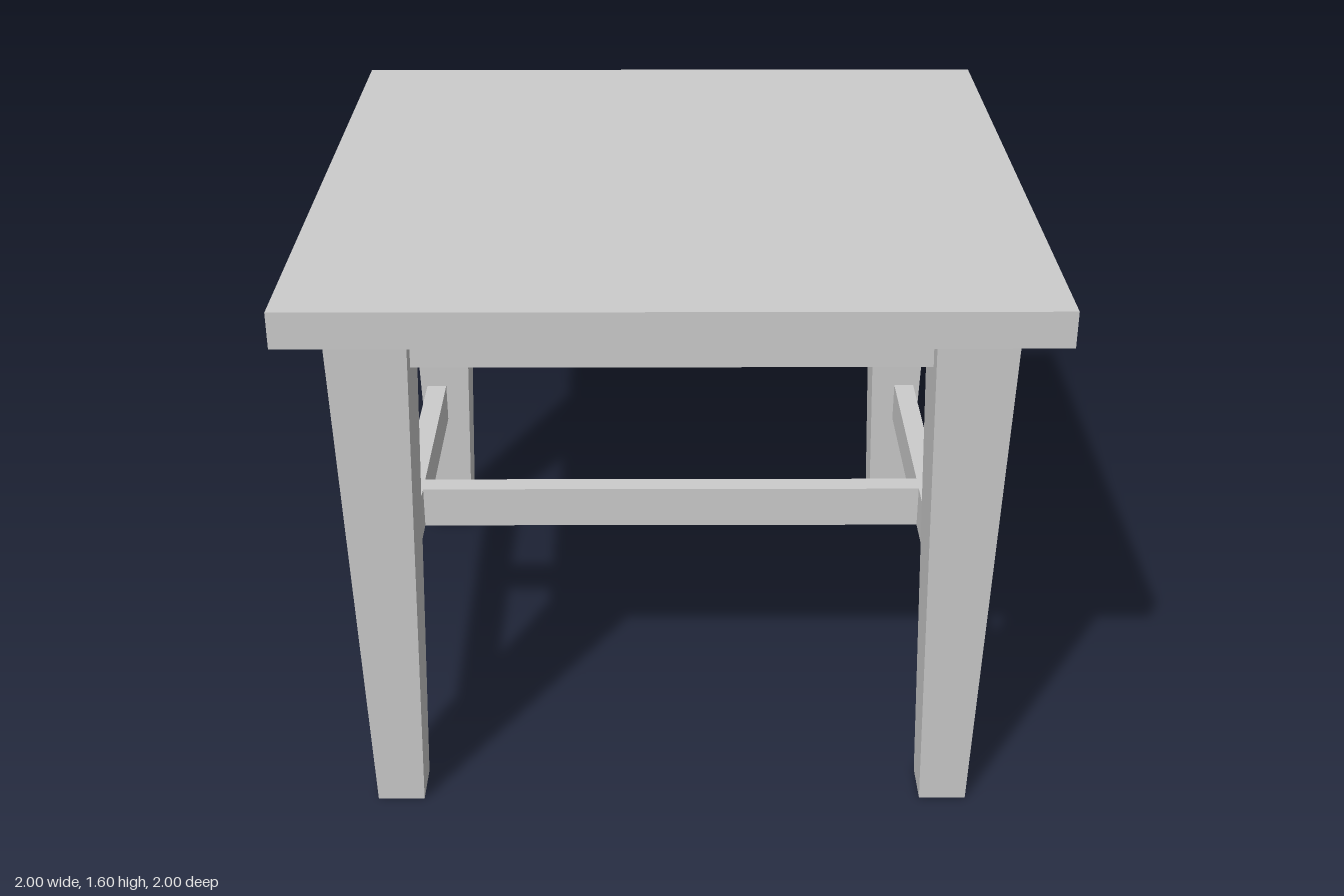
import * as THREE from 'three';

export function createModel() {
  const group = new THREE.Group();
  const material = new THREE.MeshStandardMaterial({ color: 0xcccccc, flatShading: true });

  const add = (name, geometry, x, y, z) => {
    const mesh = new THREE.Mesh(geometry, material);
    mesh.name = name;
    mesh.position.set(x, y, z);
    group.add(mesh);
  };
  const box = (name, w, h, d, x, y, z) => add(name, new THREE.BoxGeometry(w, h, d), x, y, z);

  const LEG_X = 0.78, LEG_Z = 0.785, LEG_H = 1.5;
  const RAIL_H = 0.13, RAIL_T = 0.065;

  // Square top
  box('tableTop', 2, 0.1, 2, 0, 1.55, 0);

  // Square legs tapering evenly to the floor
  const leg = new THREE.BoxGeometry(0.216, LEG_H, 0.216);
  const pos = leg.attributes.position;
  for (let i = 0; i < pos.count; i++) {
    if (pos.getY(i) < 0) {
      pos.setX(i, pos.getX(i) * 0.612);
      pos.setZ(i, pos.getZ(i) * 0.612);
    }
  }
  leg.computeVertexNormals();

  for (const s of [1, -1]) {
    const side = s > 0 ? 'left' : 'right';
    const end = s > 0 ? 'front' : 'back';
    add(`${side}FrontLeg`, leg, s * LEG_X, LEG_H / 2, LEG_Z);
    add(`${side}BackLeg`, leg, s * LEG_X, LEG_H / 2, -LEG_Z);

    // Aprons under the top, set back from the legs' outer faces
    box(`${end}Apron`, 1.38, RAIL_H, RAIL_T, 0, 1.435, s * 0.8);
    box(`${side}Apron`, RAIL_T, RAIL_H, 1.39, s * 0.805, 1.435, 0);

    // Side stretchers between front and back legs
    box(`${side}Stretcher`, RAIL_T, RAIL_H, 1.43, s * 0.808, 0.5, 0);
  }

  // Cross stretcher joining the side stretchers
  box('middleStretcher', 1.56, RAIL_H, RAIL_T, 0, 0.5, 0);

  return group;
}
